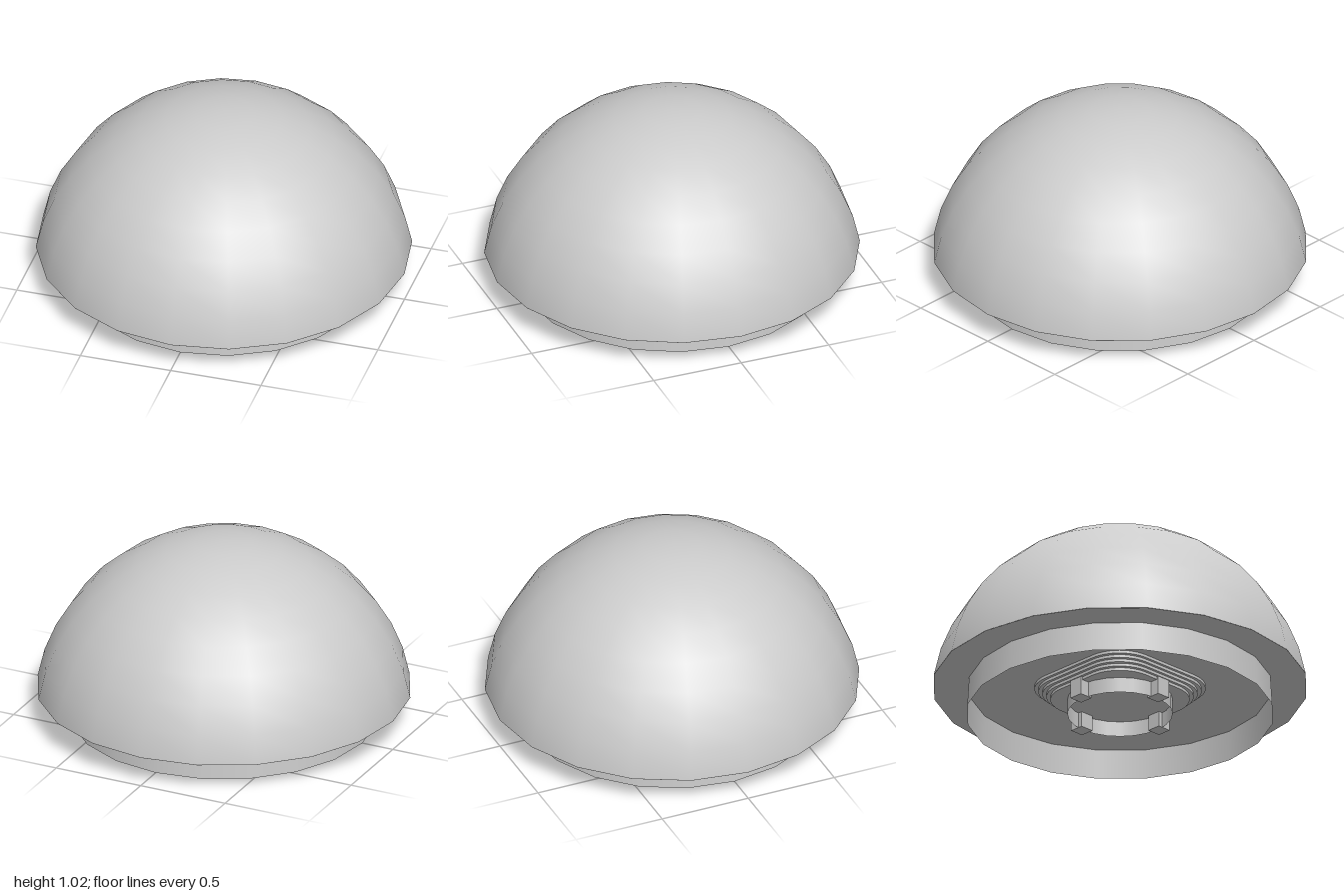
import * as THREE from 'three';

const material = new THREE.MeshStandardMaterial({ color: 0xcccccc, side: THREE.DoubleSide });
const RIM = 0.163; // height of the dome's underside

function add(group, name, geometry, x = 0, y = 0, z = 0) {
  const mesh = new THREE.Mesh(geometry, material);
  mesh.name = name;
  mesh.position.set(x, y, z);
  group.add(mesh);
  return mesh;
}

// Rounded square outline with half-side s and corner radius r
function roundedSquare(s, r) {
  const shape = new THREE.Shape();
  const c = s - r;
  shape.absarc(c, c, r, 0, Math.PI / 2);
  shape.absarc(-c, c, r, Math.PI / 2, Math.PI);
  shape.absarc(-c, -c, r, Math.PI, Math.PI * 1.5);
  shape.absarc(c, -c, r, Math.PI * 1.5, Math.PI * 2);
  shape.closePath();
  return shape;
}

// Thin open tube standing between two heights
function tube(rTop, rBottom, y0, y1, sides) {
  return new THREE.CylinderGeometry(rTop, rBottom, y1 - y0, sides, 1, true).translate(0, (y0 + y1) / 2, 0);
}

export function createModel() {
  const model = new THREE.Group();
  model.name = 'domeOnBase';

  // Smooth dome with twenty sides and its flat underside
  add(model, 'dome', new THREE.SphereGeometry(1.0125, 20, 9, 0, Math.PI * 2, 0, Math.PI * 0.45), 0, 0.005, 0);
  add(model, 'underside', new THREE.CircleGeometry(1, 20).rotateX(Math.PI / 2), 0, RIM, 0);

  // Hollow foot, slightly flared
  add(model, 'footWall', tube(0.81, 0.82, 0, RIM, 20));

  // Stepped rounded-square mount under the dome
  const mount = new THREE.Group();
  mount.name = 'mount';
  model.add(mount);
  const steps = 5;
  const stepHeight = (RIM - 0.085) / steps;
  for (let i = 0; i < steps; i++) {
    const shape = roundedSquare(0.38 - i * 0.015, 0.2);
    const geometry = new THREE.ExtrudeGeometry(shape, { depth: stepHeight, bevelEnabled: false, curveSegments: 6 });
    add(mount, 'mountStep', geometry.rotateX(-Math.PI / 2), 0, RIM - (i + 1) * stepHeight, 0);
  }

  // Round socket with four square pegs
  add(mount, 'socketWall', tube(0.28, 0.28, 0, 0.085, 24));
  for (let i = 0; i < 4; i++) {
    const a = (i * Math.PI) / 2;
    add(mount, 'peg', new THREE.BoxGeometry(0.08, 0.13, 0.08), 0.29 * Math.cos(a), 0.065, 0.29 * Math.sin(a));
  }
  return model;
}
